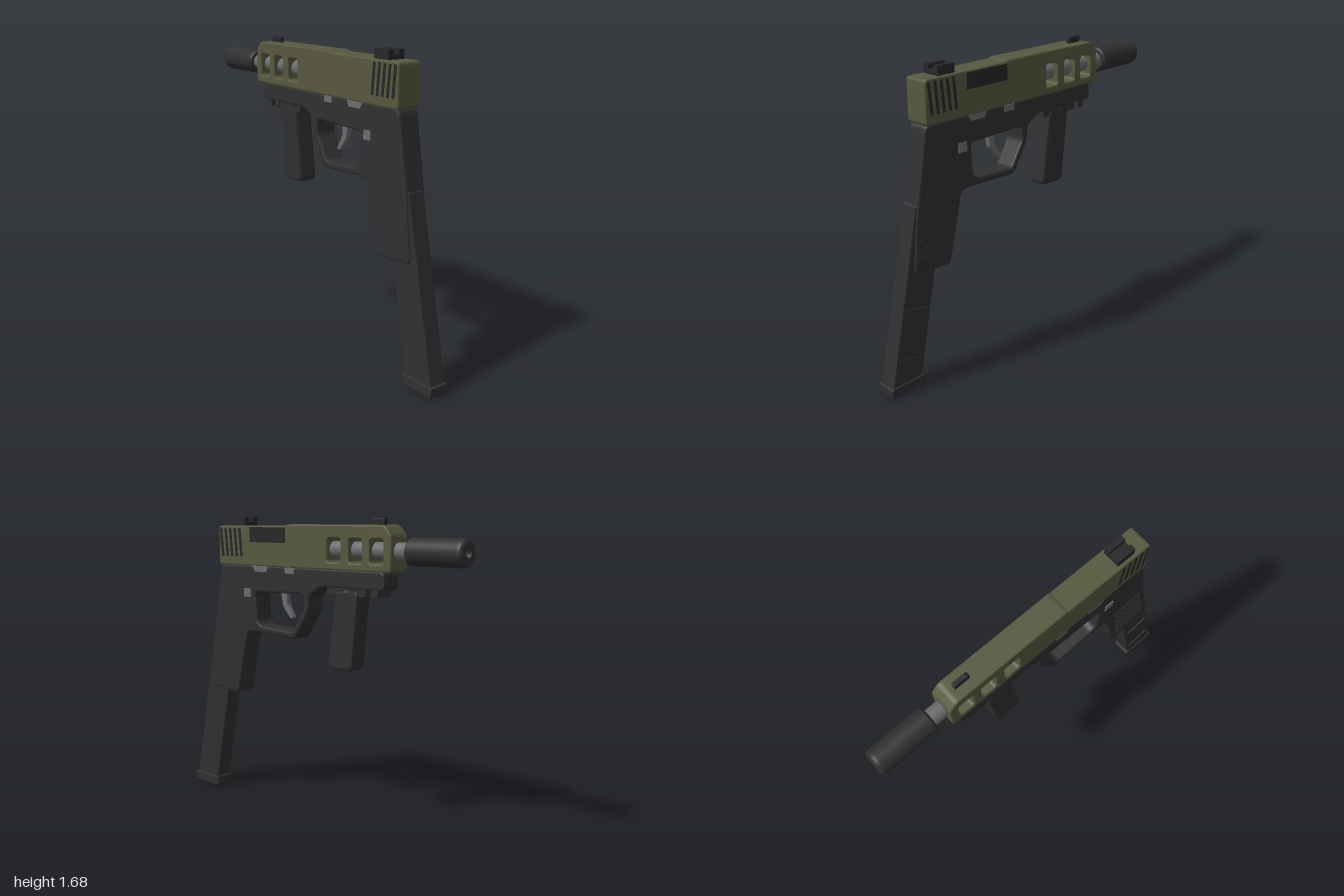
import * as THREE from 'three';

const mat = (name, color) => Object.assign(new THREE.MeshStandardMaterial({ color }), { name });

export function createModel() {
  const model = new THREE.Group();
  model.name = 'handheldModel';
  const olive = mat('olive', 0x58593f);
  const dark = mat('charcoal', 0x303030);
  const black = mat('darkDetail', 0x282828);
  const steel = mat('steel', 0x6c6c6e);

  const add = (name, geometry, material) => {
    const mesh = new THREE.Mesh(geometry, material);
    mesh.name = name;
    model.add(mesh);
    return mesh;
  };

  // Closed outline with softened corners, points given as [z, y]
  const outline = (points, r, path) => {
    const pts = points.map(([a, b]) => new THREE.Vector2(a, b));
    const toward = (p, q) => p.clone().lerp(q, Math.min(0.45, r / p.distanceTo(q)));
    pts.forEach((p, i) => {
      const a = toward(p, pts.at(i - 1));
      const b = toward(p, pts[(i + 1) % pts.length]);
      if (i === 0) path.moveTo(a.x, a.y); else path.lineTo(a.x, a.y);
      path.quadraticCurveTo(p.x, p.y, b.x, b.y);
    });
    path.closePath();
    return path;
  };

  // Side profile extruded across x, centred on the middle plane
  const slab = (name, points, half, material, { r = 0.01, bevel = 0.008, holes = [] } = {}) => {
    const shape = outline(points, r, new THREE.Shape());
    holes.forEach((h) => shape.holes.push(outline(h, 0.02, new THREE.Path())));
    const geometry = new THREE.ExtrudeGeometry(shape, {
      depth: 2 * (half - bevel), bevelEnabled: true, bevelThickness: bevel,
      bevelSize: bevel, bevelOffset: -bevel, bevelSegments: 2, curveSegments: 4,
    });
    geometry.translate(0, 0, bevel - half).rotateY(-Math.PI / 2);
    return add(name, geometry, material);
  };

  const box = (name, [w, h, d], [x, y, z], material, tilt = 0) => {
    const mesh = add(name, new THREE.BoxGeometry(w, h, d), material);
    mesh.position.set(x, y, z);
    mesh.rotation.x = tilt;
    return mesh;
  };

  // Upper slide with three side windows
  const windows = [[-0.15, -0.245], [-0.3, -0.39], [-0.44, -0.53]].map(([a, b]) =>
    [[a, 1.44], [a, 1.568], [b, 1.568], [b, 1.44]]);
  slab('slide', [[0.713, 1.4], [0.713, 1.628], [0.16, 1.63], [0.15, 1.638], [-0.535, 1.638],
    [-0.58, 1.588], [-0.58, 1.4]], 0.069, olive, { r: 0.02, holes: windows });
  box('ejectionPort', [0.008, 0.085, 0.285], [0.068, 1.578, 0.302], black);

  // Barrel and muzzle cylinder
  const barrel = add('barrel', new THREE.CylinderGeometry(0.045, 0.045, 0.6, 24), steel);
  barrel.rotation.x = Math.PI / 2;
  barrel.position.set(0, 1.507, -0.37);
  const profile = [[0, 0], [0.06, 0], [0.071, 0.012], [0.071, 0.31], [0.067, 0.326], [0.055, 0.336],
    [0.024, 0.336], [0.024, 0.27], [0, 0.27]];
  // Each profile edge becomes its own band so the rims stay crisp
  profile.slice(1).forEach((p, i) => {
    const band = add('muzzleCylinder', new THREE.LatheGeometry(
      [new THREE.Vector2(...profile[i]), new THREE.Vector2(...p)], 28), dark);
    band.rotation.x = -Math.PI / 2;
    band.position.set(0, 1.507, -0.655);
  });

  // Frame, grip and trigger guard in one profile
  slab('frame', [[0.71, 1.405], [0.738, 1.24], [0.78, 1.0], [0.816, 0.65], [0.572, 0.63],
    [0.484, 1.01], [0.41, 1.017], [0.097, 1.003], [-0.01, 1.17], [-0.01, 1.25],
    [-0.1, 1.305], [-0.535, 1.305], [-0.535, 1.405]], 0.061, dark, {
    r: 0.03, bevel: 0.012,
    holes: [[[0.412, 1.25], [0.03, 1.257], [0.03, 1.18], [0.115, 1.042], [0.37, 1.055], [0.4, 1.08]]],
  });

  // Trigger
  slab('trigger', [[0.25, 1.27], [0.2, 1.27], [0.198, 1.19], [0.152, 1.115], [0.17, 1.105], [0.233, 1.175]],
    0.016, steel, { bevel: 0.004 });

  // Magazine and its base
  slab('magazine', [[0.783, 1.008], [0.6, 1.008], [0.794, 0.04], [0.987, 0.04]], 0.049, dark,
    { r: 0.008, bevel: 0.006 });
  slab('magazineBase', [[0.998, 0.06], [0.998, 0.012], [0.985, 0], [0.79, 0], [0.777, 0.012], [0.777, 0.06]],
    0.058, dark, { r: 0.008, bevel: 0.006 });

  // Accessory rail and forward handle
  box('railMount', [0.1, 0.04, 0.235], [0, 1.29, -0.275], dark);
  for (const z of [-0.165, -0.235, -0.315, -0.385, -0.465]) {
    box('railTooth', [0.11, 0.045, 0.045], [0, 1.292, z], dark);
  }
  slab('forwardHandle', [[-0.2, 1.3], [-0.358, 1.3], [-0.315, 0.862], [-0.143, 0.868]], 0.056, dark,
    { r: 0.035, bevel: 0.016 });

  // Sights
  box('rearSightBase', [0.1, 0.03, 0.11], [0, 1.638, 0.56], black);
  for (const s of [-1, 1]) {
    box('rearSightPost', [0.032, 0.05, 0.11], [s * 0.034, 1.652, 0.56], black);
  }
  slab('frontSight', [[-0.405, 1.625], [-0.405, 1.665], [-0.42, 1.673], [-0.495, 1.673], [-0.495, 1.625]],
    0.013, black, { r: 0.004, bevel: 0.003 });

  // Details repeated on both sides
  for (const s of [-1, 1]) {
    for (let i = 0; i < 5; i++) {
      box('slideSerration', [0.008, 0.165, 0.017], [s * 0.068, 1.533, 0.685 - i * 0.04], black, 0.1);
    }
    for (let i = 0; i < 8; i++) {
      const y = 1.04 - i * 0.046;
      box('gripRib', [0.008, 0.014, 0.2], [s * 0.06, y, 0.632 + (1.04 - y) * 0.19], dark, -0.1);
    }
    for (const [y, z] of [[0.45, 0.81], [0.18, 0.86]]) {
      box('magazineRib', [0.008, 0.014, 0.15], [s * 0.05, y, z], dark, -0.2);
    }
    box('releaseButton', [0.014, 0.05, 0.055], [s * 0.06, 1.243, 0.475], steel);
    slab('slideLever', [[0.435, 1.402], [0.3, 1.402], [0.318, 1.367], [0.41, 1.367]], 0.005, steel,
      { r: 0.003, bevel: 0.001 }).position.x = s * 0.06;
    box('takedownLever', [0.01, 0.034, 0.07], [s * 0.06, 1.383, 0.135], steel);
  }

  return model;
}
